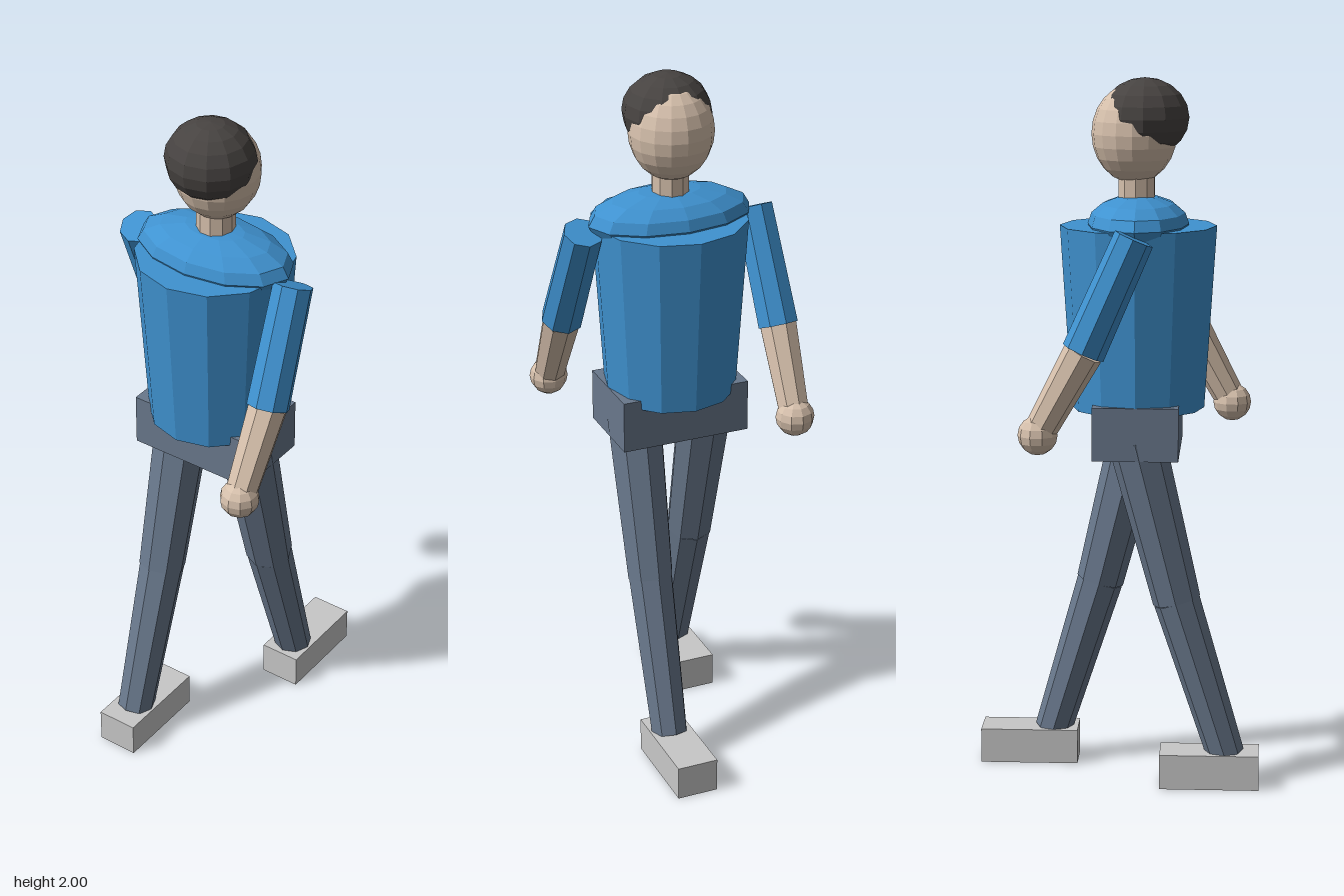
import * as THREE from 'three';

export function createModel() {
  const root = new THREE.Group();
  root.name = 'walkingPerson';
  const mat = (name, color) => {
    const m = new THREE.MeshStandardMaterial({ color, flatShading: true });
    m.name = name;
    return m;
  };
  const shirt = mat('shirt blue', 0x3f92d0);
  const skin = mat('skin', 0xd6c0ac);
  const hairMat = mat('dark hair', 0x474341);
  const trousers = mat('slate trousers', 0x69788c);
  const shoes = mat('light grey shoes', 0xc8c8c8);

  const add = (name, geo, material, x, y, z) => {
    const mesh = new THREE.Mesh(geo, material);
    mesh.name = name;
    mesh.position.set(x, y, z);
    root.add(mesh);
    return mesh;
  };
  const ball = (name, material, p, r, w = 12, h = 8) =>
    add(name, new THREE.SphereGeometry(1, w, h).scale(...r), material, ...p);

  // Tapered limb segment running from point a to point b
  const limb = (name, material, a, b, ra, rb) => {
    const A = new THREE.Vector3(...a), B = new THREE.Vector3(...b);
    const up = A.clone().sub(B);
    const mid = A.clone().add(B).multiplyScalar(0.5);
    const mesh = add(name, new THREE.CylinderGeometry(ra, rb, up.length(), 8), material, mid.x, mid.y, mid.z);
    mesh.quaternion.setFromUnitVectors(new THREE.Vector3(0, 1, 0), up.normalize());
  };

  const cx = -0.057; // body axis; the figure walks toward +x

  // Torso, shoulders and pelvis
  add('torso', new THREE.CylinderGeometry(0.22, 0.187, 0.515, 12), shirt, cx, 1.3325, 0);
  ball('shoulders', shirt, [cx, 1.595, 0], [0.142, 0.08, 0.24]);
  add('pelvis', new THREE.BoxGeometry(0.24, 0.15, 0.378), trousers, cx, 1.028, 0);

  // Neck, head and hair
  add('neck', new THREE.CylinderGeometry(0.053, 0.053, 0.12, 10), skin, -0.052, 1.69, 0);
  ball('head', skin, [-0.045, 1.845, 0], [0.119, 0.138, 0.119], 16, 12);
  ball('hair', hairMat, [-0.075, 1.89, 0], [0.123, 0.11, 0.125], 12, 10);

  // Limbs: each side swings opposite to the other, arms opposite to legs
  for (const s of [1, -1]) {
    const side = s > 0 ? 'front' : 'rear';
    const z = s * 0.11;
    const knee = [cx + s * 0.115, 0.54, z];
    const ankle = [s > 0 ? 0.196 : -0.313, 0.09, z];
    limb(side + 'Thigh', trousers, [cx, 1.0, z], knee, 0.081, 0.068);
    limb(side + 'Shin', trousers, knee, ankle, 0.066, 0.054);
    add(side + 'Foot', new THREE.BoxGeometry(0.282, 0.1, 0.12), shoes, s > 0 ? 0.263 : -0.267, 0.05, z);

    const arm = s > 0 ? 'right' : 'left';
    const elbow = [cx - s * 0.137, 1.272, s * 0.272];
    const hand = [cx - s * 0.263, 1.042, s * 0.269];
    limb(arm + 'Sleeve', shirt, [cx, 1.582, s * 0.255], elbow, 0.056, 0.06);
    limb(arm + 'Forearm', skin, elbow, hand, 0.055, 0.044);
    ball(arm + 'Hand', skin, hand, [0.055, 0.055, 0.055], 10, 8);
  }
  return root;
}
